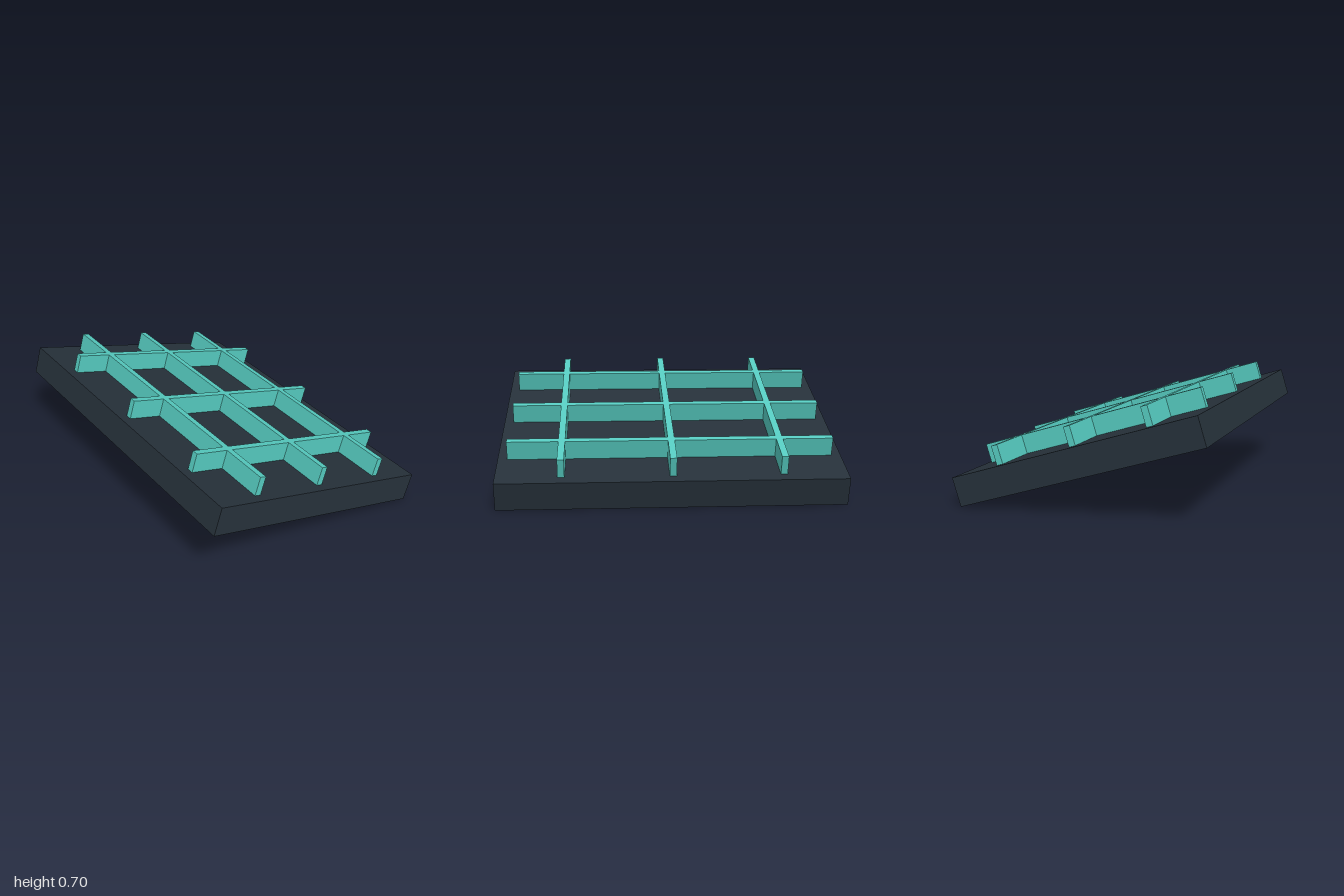
import * as THREE from 'three';

export function createModel() {
  const slabColor = new THREE.MeshStandardMaterial({ color: 0x26313a });
  slabColor.name = 'dark slate';
  const barColor = new THREE.MeshStandardMaterial({ color: 0x55cabf });
  barColor.name = 'teal';

  const model = new THREE.Group();
  model.name = 'tiltedGridPanel';

  // Everything is laid out flat, then tilted so the front edge is raised
  const panel = new THREE.Group();
  panel.name = 'panel';
  panel.rotation.x = -0.3;
  panel.position.y = 0.305;
  model.add(panel);

  const addBox = (name, material, size, x, y, z) => {
    const mesh = new THREE.Mesh(new THREE.BoxGeometry(...size), material);
    mesh.name = name;
    mesh.position.set(x, y, z);
    panel.add(mesh);
  };

  // Base slab
  const thickness = 0.172;
  addBox('slab', slabColor, [2, thickness, 1.506], 0, 0, 0);

  // Grid of three lengthwise and three crosswise bars standing on the slab
  const barHeight = 0.114, barWidth = 0.039;
  const barY = (thickness + barHeight) / 2;
  for (const i of [-1, 0, 1]) {
    addBox('lengthwiseBar', barColor, [barWidth, barHeight, 1.386], i * 0.63, barY, 0);
    addBox('crosswiseBar', barColor, [1.89, barHeight, barWidth], 0, barY, i * 0.464);
  }

  return model;
}
